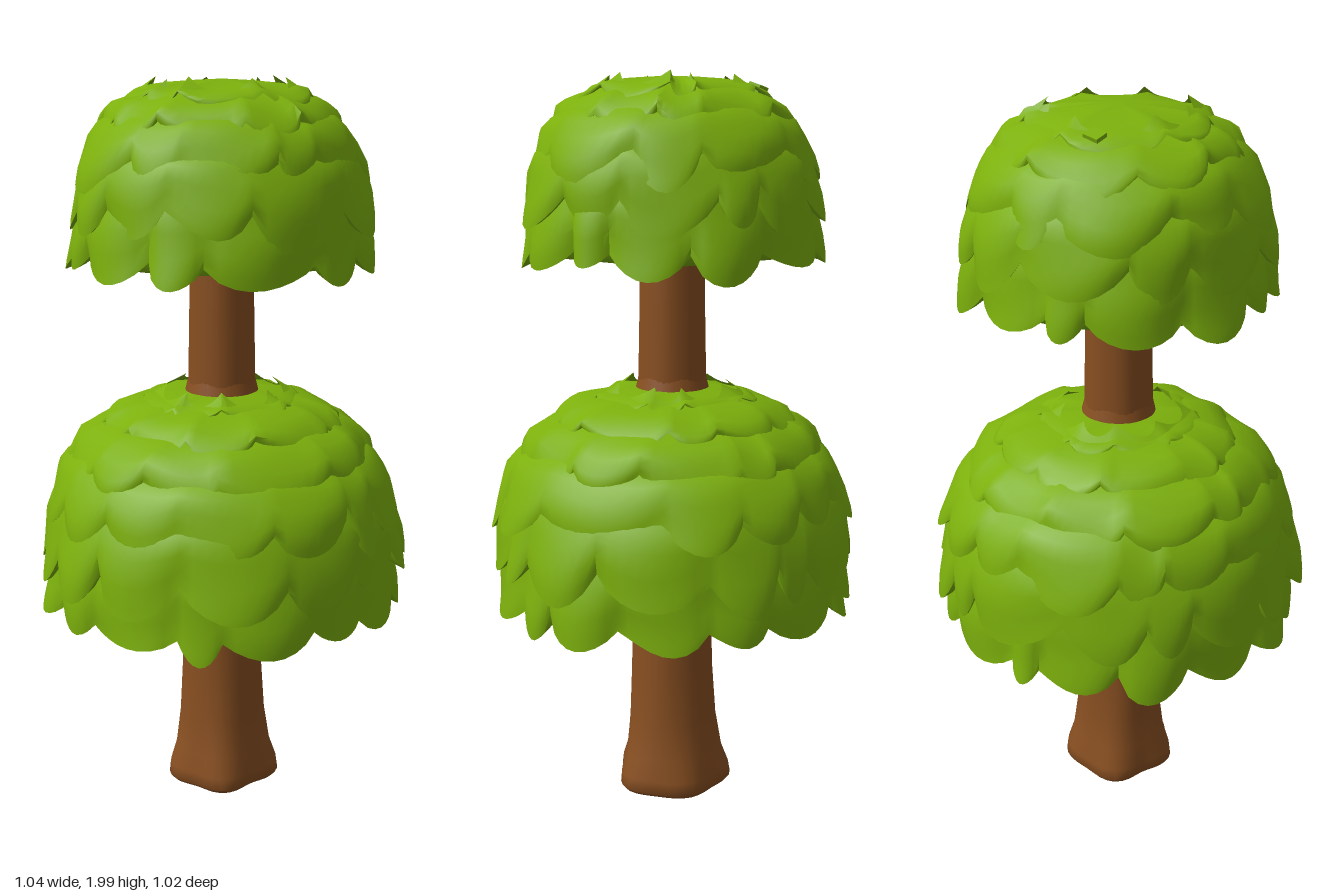
import * as THREE from 'three';
import { toCreasedNormals } from 'three/addons/utils/BufferGeometryUtils.js';

// Small seeded random generator
function makeRandom(seed) {
  return () => {
    seed = (seed * 16807) % 2147483647;
    return seed / 2147483647;
  };
}

// Surface from closed horizontal rings, listed from the top centre outwards and down
function ringSurface(rows, cols, pointAt) {
  const positions = [], index = [];
  for (let j = 0; j < rows; j++)
    for (let i = 0; i < cols; i++) positions.push(...pointAt(j, i));
  for (let j = 0; j < rows - 1; j++)
    for (let i = 0; i < cols; i++) {
      const k = (i + 1) % cols;
      const a = j * cols + i, b = j * cols + k, c = a + cols, d = b + cols;
      index.push(a, c, b, b, c, d);
    }
  const geometry = new THREE.BufferGeometry();
  geometry.setAttribute('position', new THREE.Float32BufferAttribute(positions, 3));
  geometry.setIndex(index);
  return toCreasedNormals(geometry, 0.9);
}

// One skirt of overlapping leaves with an uneven, turned-under lower edge
function leafTier(start, lip, leaves, depth, random) {
  const per = 8, cols = leaves * per;
  const phase = random() * 6.28, wave = random() * 6.28;
  const leaf = Array.from({ length: leaves }, () => ({
    shift: (random() - 0.5) * 0.7,
    drop: 0.55 + random() * 0.6,
    out: (random() - 0.5) * 0.03,
    peak: 0.75 + random() * 0.6,
  }));
  const [r0, y0] = start, [r1, y1] = lip;
  // Rows: t along the skirt, then the underside of the lip
  const rows = [0, 0.2, 0.4, 0.6, 0.8, 0.93, 1, 'under', 'inner'];
  return ringSurface(rows.length, cols, (j, i) => {
    const n = Math.floor(i / per), f = (i % per) / per;
    const one = leaf[n], next = leaf[(n + 1) % leaves];
    const turn = ((n + f + one.shift * (1 - f) + next.shift * f) / leaves) * Math.PI * 2;
    const angle = phase + turn;
    const arch = Math.pow(Math.sin(Math.PI * Math.pow(f, one.peak)), 0.8);
    const row = rows[j], t = typeof row === 'number' ? row : 1;
    const bulge = Math.sin(t * Math.PI * 0.5);
    const sway = Math.sin(3 * turn + wave) * 0.6 + Math.sin(7 * turn - wave) * 0.4;
    // Soft dents over the face, leaf relief and slow waves at the edge
    let r = r0 + (r1 - r0) * bulge + t * t * (arch * (0.026 + one.out) - 0.012);
    r += 0.005 * Math.sin(9 * t + 5 * turn + wave) * bulge;
    let y = y0 + (y1 - y0) * (0.35 * t + 0.65 * t * t);
    y += t * t * depth * (0.33 - arch * one.drop + 0.14 * sway);
    if (row === 'under') { r -= 0.022; y += 0.01; }
    if (row === 'inner') { r -= 0.06; y += 0.035; }
    return [Math.sin(angle) * r, y, Math.cos(angle) * r];
  });
}

// A whole crown: inner dome with closed underside, plus the leaf tiers
function crown(name, core, tiers, material, seed) {
  const group = new THREE.Group();
  group.name = name;
  const random = makeRandom(seed);
  const profile = core.map(([r, y]) => new THREE.Vector2(r, y));
  const dome = new THREE.Mesh(new THREE.LatheGeometry(profile, 40), material);
  dome.name = name + 'Core';
  group.add(dome);
  tiers.forEach(([start, lip, leaves, depth], i) => {
    const tier = new THREE.Mesh(leafTier(start, lip, leaves, depth, random), material);
    tier.name = name + 'LeafTier' + (i + 1);
    group.add(tier);
  });
  return group;
}

// Trunk with a lobed, flared foot and a closed base
function trunkGeometry() {
  const profile = [
    [0, 1.7], [0.086, 1.7], [0.089, 1.4], [0.093, 1.2], [0.1, 0.9], [0.111, 0.56],
    [0.115, 0.35], [0.123, 0.2], [0.136, 0.1], [0.153, 0.045], [0.156, 0.012], [0.146, 0], [0, 0],
  ];
  const cols = 40;
  return ringSurface(profile.length, cols, (j, i) => {
    const [r, y] = profile[j];
    const a = (i / cols) * Math.PI * 2;
    const foot = Math.max(0, 1 - y / 0.4) ** 2;
    const lobes = 1 + foot * (0.065 * Math.cos(5 * a - 0.6) + 0.03 * Math.cos(3 * a + 1)) + 0.012 * Math.cos(6 * a);
    return [Math.sin(a) * r * lobes, y, Math.cos(a) * r * lobes];
  });
}

export function createModel() {
  const tree = new THREE.Group();
  tree.name = 'tree';
  const leafGreen = new THREE.MeshStandardMaterial({ color: 0x7cb00c, side: THREE.DoubleSide });
  leafGreen.name = 'leafGreen';
  const barkBrown = new THREE.MeshStandardMaterial({ color: 0x884f21 });
  barkBrown.name = 'barkBrown';

  const trunk = new THREE.Mesh(trunkGeometry(), barkBrown);
  trunk.name = 'trunk';
  tree.add(trunk);

  // Bark collar where the trunk leaves the lower crown
  const collar = new THREE.Mesh(new THREE.CylinderGeometry(0.091, 0.106, 0.06, 32, 1, true), barkBrown);
  collar.name = 'trunkCollar';
  collar.position.y = 1.165;
  tree.add(collar);

  // Core profiles run from the underside hub, out to the rim and up to the top
  tree.add(crown('lowerCrown',
    [[0.1, 0.56], [0.13, 0.552], [0.22, 0.565], [0.35, 0.585], [0.45, 0.6], [0.47, 0.68], [0.45, 0.82], [0.39, 0.95], [0.29, 1.06], [0.17, 1.12], [0.07, 1.14]],
    [
      [[0.07, 1.16], [0.22, 1.13], 8, 0.035],
      [[0.15, 1.145], [0.33, 1.065], 11, 0.06],
      [[0.27, 1.095], [0.425, 0.965], 13, 0.08],
      [[0.37, 1.02], [0.478, 0.845], 14, 0.09],
      [[0.43, 0.93], [0.5, 0.715], 15, 0.09],
      [[0.455, 0.81], [0.49, 0.585], 16, 0.06],
    ], leafGreen, 4177));

  const upperCrown = crown('upperCrown',
    [[0.08, 1.505], [0.11, 1.495], [0.2, 1.505], [0.36, 1.525], [0.375, 1.6], [0.36, 1.72], [0.315, 1.82], [0.23, 1.9], [0.12, 1.94], [0, 1.95]],
    [
      [[0, 1.985], [0.245, 1.94], 8, 0.045],
      [[0.15, 1.96], [0.32, 1.865], 10, 0.07],
      [[0.26, 1.91], [0.37, 1.755], 11, 0.08],
      [[0.32, 1.83], [0.398, 1.645], 12, 0.085],
      [[0.355, 1.73], [0.397, 1.525], 13, 0.065],
    ], leafGreen, 9241);
  tree.add(upperCrown);

  // Single loose leaf poking out of the top
  const looseLeaf = new THREE.Mesh(new THREE.BoxGeometry(0.045, 0.035, 0.035), leafGreen);
  looseLeaf.name = 'looseLeaf';
  looseLeaf.position.set(-0.13, 1.945, -0.18);
  looseLeaf.rotation.set(-0.3, 0.1, 0.2);
  upperCrown.add(looseLeaf);

  return tree;
}
